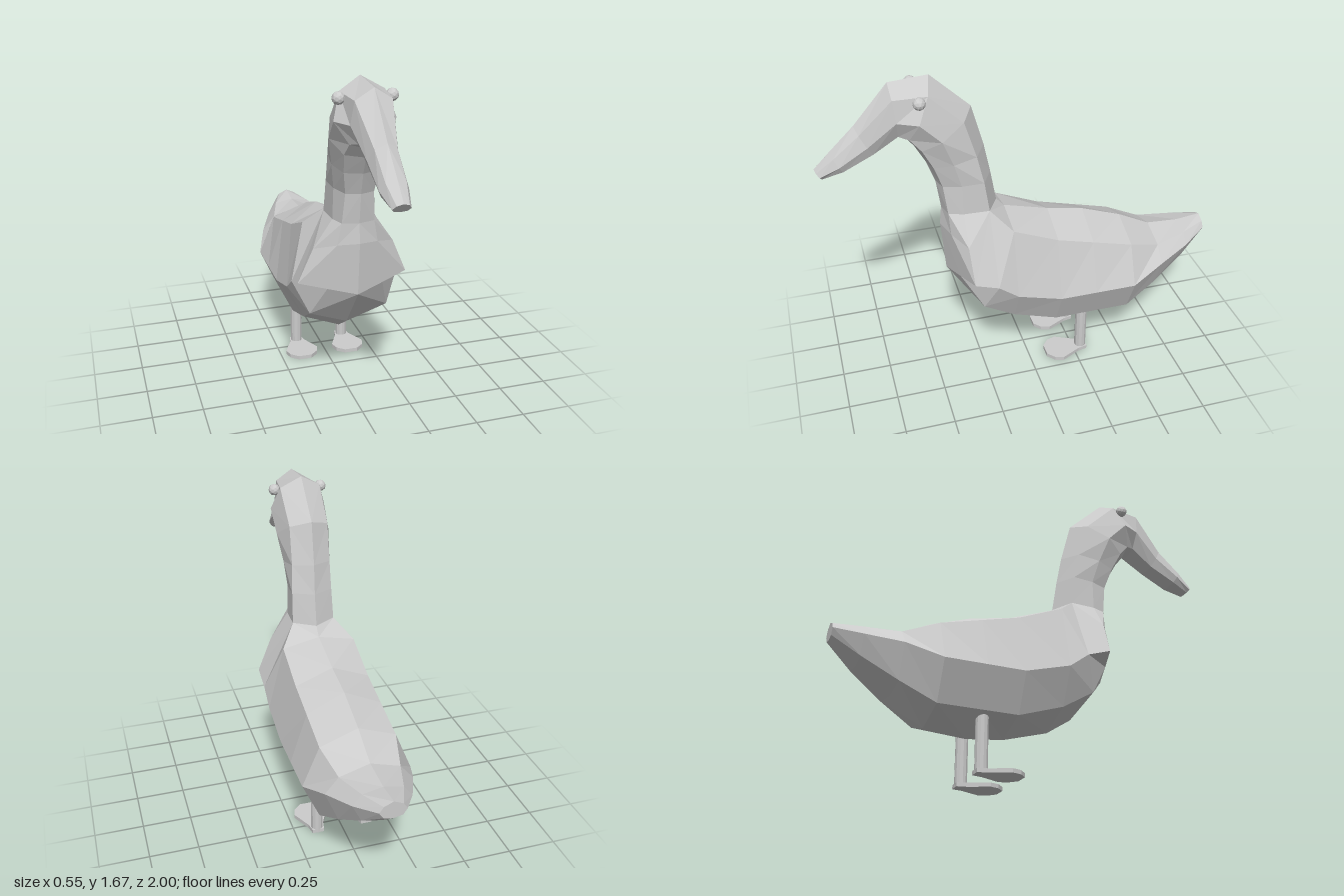
import * as THREE from 'three';

const material = new THREE.MeshStandardMaterial({ color: 0xcccccc, flatShading: true });

// A ring is half a cross-section: top, upper side, side, lower side, bottom, as [x, y, z].
// It is mirrored into eight corners, moved sideways by dx.
function ring(half, dx = 0) {
  const mirrored = half.slice(1, 4).reverse().map(([x, y, z]) => [-x, y, z]);
  return [...half, ...mirrored].map(([x, y, z]) => new THREE.Vector3(x + dx, y, z));
}

// Upright cross-section of the trunk at one z; w scales the width
const trunkRing = ([z, top, upper, side, lower, bottom, w]) => ring([
  [0, top, z], [0.19 * w, upper, z], [0.275 * w, side, z], [0.19 * w, lower, z], [0, bottom, z],
]);

// Tilted cross-section of neck and head between a back point and a front point
function neckRing([backY, backZ, frontY, frontZ, wUpper, wSide, wLower, dx]) {
  const at = (x, t) => [x, backY + (frontY - backY) * t, backZ + (frontZ - backZ) * t];
  return ring([at(0, 0), at(wUpper, 0.2), at(wSide, 0.6), at(wLower, 0.92), at(0, 1)], dx);
}

// Skin over successive rings, closed at both ends
function loft(rings) {
  const positions = [];
  const triangle = (a, b, c) => {
    const area = b.clone().sub(a).cross(c.clone().sub(a)).length();
    if (area > 1e-8) [a, b, c].forEach((p) => positions.push(p.x, p.y, p.z));
  };
  const n = rings[0].length;
  for (let i = 0; i < rings.length - 1; i++) {
    for (let j = 0; j < n; j++) {
      const k = (j + 1) % n;
      const a = rings[i][j], b = rings[i][k], c = rings[i + 1][k], d = rings[i + 1][j];
      // Mirrored diagonals keep both halves alike
      if (j < n / 2) { triangle(a, d, c); triangle(a, c, b); }
      else { triangle(a, d, b); triangle(d, c, b); }
    }
  }
  const first = rings[0], last = rings[rings.length - 1];
  for (let j = 1; j < n - 1; j++) {
    triangle(first[0], first[j], first[j + 1]);
    triangle(last[0], last[j + 1], last[j]);
  }
  const geometry = new THREE.BufferGeometry();
  geometry.setAttribute('position', new THREE.Float32BufferAttribute(positions, 3));
  geometry.computeVertexNormals();
  return geometry;
}

function addMesh(parent, name, geometry, x = 0, y = 0, z = 0) {
  const mesh = new THREE.Mesh(geometry, material);
  mesh.name = name;
  mesh.position.set(x, y, z);
  parent.add(mesh);
  return mesh;
}

export function createModel() {
  const model = new THREE.Group();
  model.name = 'duck';

  // Trunk from tail to shoulders: z, top, upper, side, lower, bottom, width
  const trunk = [
    [-1.0, 0.67, 0.65, 0.62, 0.59, 0.58, 0.24],
    [-0.87, 0.655, 0.635, 0.58, 0.49, 0.47, 0.52],
    [-0.7, 0.665, 0.62, 0.54, 0.38, 0.355, 0.79],
    [-0.53, 0.75, 0.68, 0.475, 0.285, 0.225, 1],
    [-0.32, 0.825, 0.735, 0.475, 0.285, 0.2, 1],
    [-0.13, 0.86, 0.785, 0.475, 0.285, 0.22, 1],
    [0.1, 0.92, 0.88, 0.54, 0.36, 0.285, 1],
  ].map(trunkRing);

  // Chest fans out around the fixed base of the neck's back
  const nape = [[0, 0.965, 0.14], [0.11, 0.97, 0.2]];
  const chest = [
    [[0.275, 0.615, 0.2], [0.2, 0.455, 0.26], [0, 0.37, 0.23]],
    [[0.275, 0.655, 0.32], [0.14, 0.628, 0.365], [0, 0.6, 0.41]],
    [[0.2, 0.83, 0.33], [0.1, 0.86, 0.395], [0, 0.87, 0.43]],
    [[0.105, 0.97, 0.33], [0.08, 0.97, 0.4], [0, 0.97, 0.42]],
  ].map((front) => ring([...nape, ...front]));

  // Neck, head and bill: back y, z, front y, z, upper, side, lower half widths, shift
  const neckAndHead = [
    [1.13, 0.167, 1.12, 0.44, 0.105, 0.1, 0.07, 0],
    [1.28, 0.195, 1.23, 0.48, 0.1, 0.115, 0.085, -0.005],
    [1.49, 0.25, 1.32, 0.53, 0.1, 0.14, 0.095, -0.01],
    [1.67, 0.44, 1.37, 0.57, 0.105, 0.145, 0.085, -0.012],
    [1.655, 0.63, 1.385, 0.605, 0.085, 0.1, 0.06, -0.012],
    [1.46, 0.8, 1.315, 0.72, 0.05, 0.07, 0.05, -0.012],
    [1.345, 0.92, 1.25, 0.865, 0.045, 0.065, 0.05, -0.012],
    [1.265, 1.0, 1.22, 0.965, 0.028, 0.042, 0.03, -0.012],
  ].map(neckRing);

  addMesh(model, 'body', loft([...trunk, ...chest, ...neckAndHead]));

  // Webbed foot outline, heel at the back; shape y becomes -z when laid flat
  const outline = [[0.03, 0.32], [0.04, 0.27], [0.088, 0.17], [0.075, 0.125], [0.035, 0.09]];
  const footShape = new THREE.Shape([
    ...outline,
    ...outline.map(([x, y]) => [-x, y]).reverse(),
  ].map(([x, y]) => new THREE.Vector2(x, y)));
  const footGeometry = new THREE.ExtrudeGeometry(footShape, { depth: 0.02, bevelEnabled: false });
  footGeometry.rotateX(-Math.PI / 2);
  const legGeometry = new THREE.CylinderGeometry(0.031, 0.031, 0.3, 12);
  const eyeGeometry = new THREE.IcosahedronGeometry(0.03, 1);

  for (const [side, s] of [['left', 1], ['right', -1]]) {
    addMesh(model, `${side}Leg`, legGeometry, s * 0.132, 0.15, -0.29);
    addMesh(model, `${side}Foot`, footGeometry, s * 0.132, 0, 0);
    addMesh(model, `${side}Eye`, eyeGeometry, s * 0.123 - 0.01, 1.59, 0.51);
  }
  return model;
}
